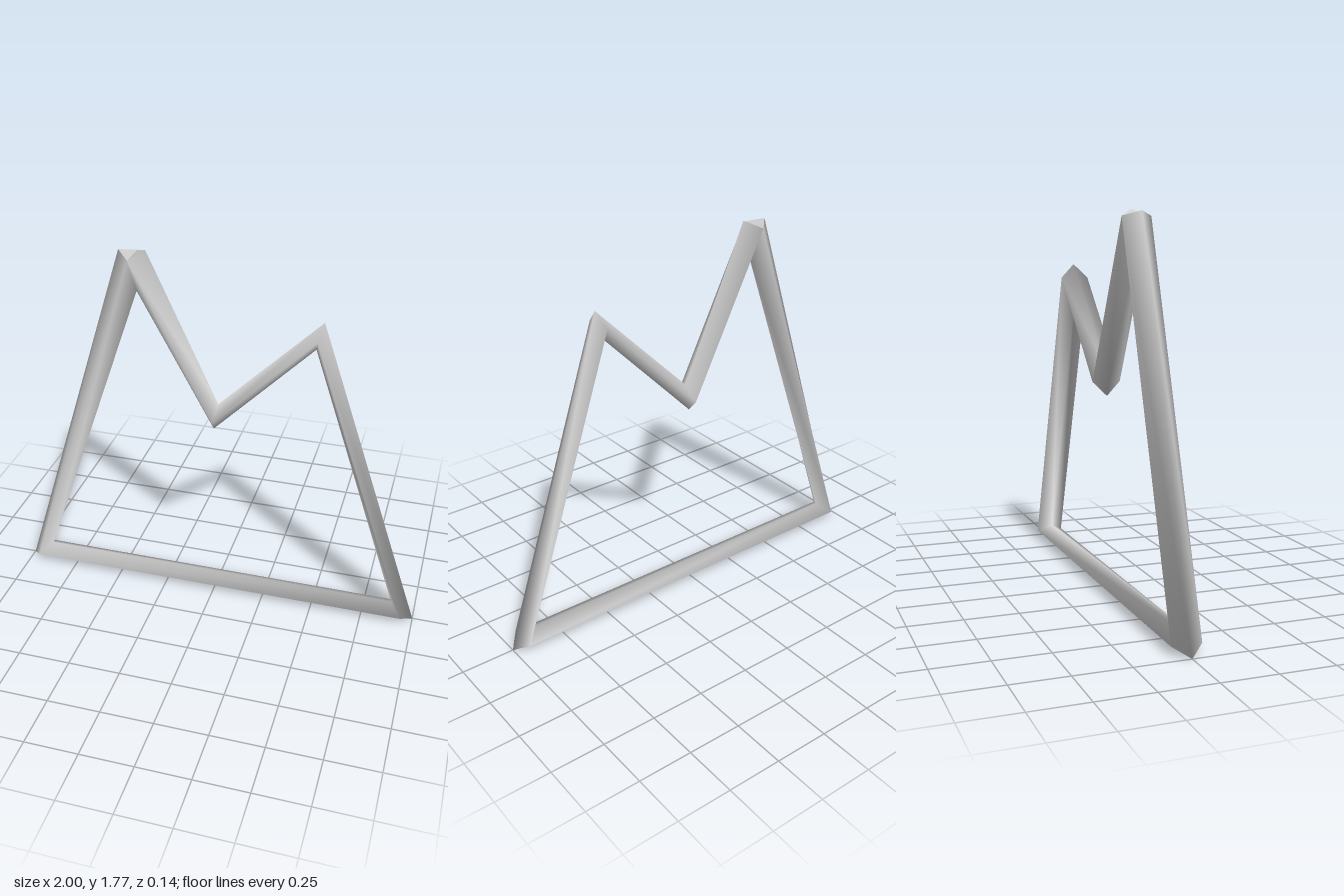
import * as THREE from 'three';

const R = 0.068;
// Centre line of the bar: starts and ends at the tall peak
const PATH = [[-0.38, 1.74], [-0.945, 0.04], [0.945, 0.04], [0.47, 1.46], [0, 0.987], [-0.38, 1.74]]
  .map(([x, y]) => new THREE.Vector3(x, y, 0));

// Four-sided ring at each path point, lying in the plane that halves the corner
function makeRings() {
  const z = new THREE.Vector3(0, 0, 1);
  return PATH.map((p, i) => {
    const dir = new THREE.Vector3();
    if (i > 0) dir.add(p.clone().sub(PATH[i - 1]).normalize());
    if (i < PATH.length - 1) dir.add(PATH[i + 1].clone().sub(p).normalize());
    const out = dir.normalize().cross(z);
    return [0, 1, 2, 3].map((j) => {
      const a = (j * Math.PI) / 2;
      return p.clone().addScaledVector(out, R * Math.cos(a)).addScaledVector(z, R * Math.sin(a));
    });
  });
}

function makeGeometry(points, index) {
  const g = new THREE.BufferGeometry().setFromPoints(points);
  g.setIndex(index);
  g.computeVertexNormals();
  return g;
}

export function createModel() {
  const group = new THREE.Group();
  group.name = 'mountainOutline';
  const grey = new THREE.MeshStandardMaterial({ color: 0xcccccc });
  grey.name = 'lightGrey';
  const add = (name, geometry) => {
    const mesh = new THREE.Mesh(geometry, grey);
    mesh.name = name;
    group.add(mesh);
  };

  // Bar skin, smooth across its sides and corners
  const rings = makeRings();
  const index = [];
  for (let i = 0; i < rings.length - 1; i++) {
    for (let j = 0; j < 4; j++) {
      const k = (j + 1) % 4;
      const a = i * 4 + j, b = a + 4, c = i * 4 + k, d = c + 4;
      index.push(a, b, d, a, d, c);
    }
  }
  add('outlineBar', makeGeometry(rings.flat(), index));

  // Flat ends meeting at the tall peak
  add('startCap', makeGeometry(rings[0], [0, 1, 2, 0, 2, 3]));
  add('endCap', makeGeometry(rings[rings.length - 1], [0, 2, 1, 0, 3, 2]));
  return group;
}
